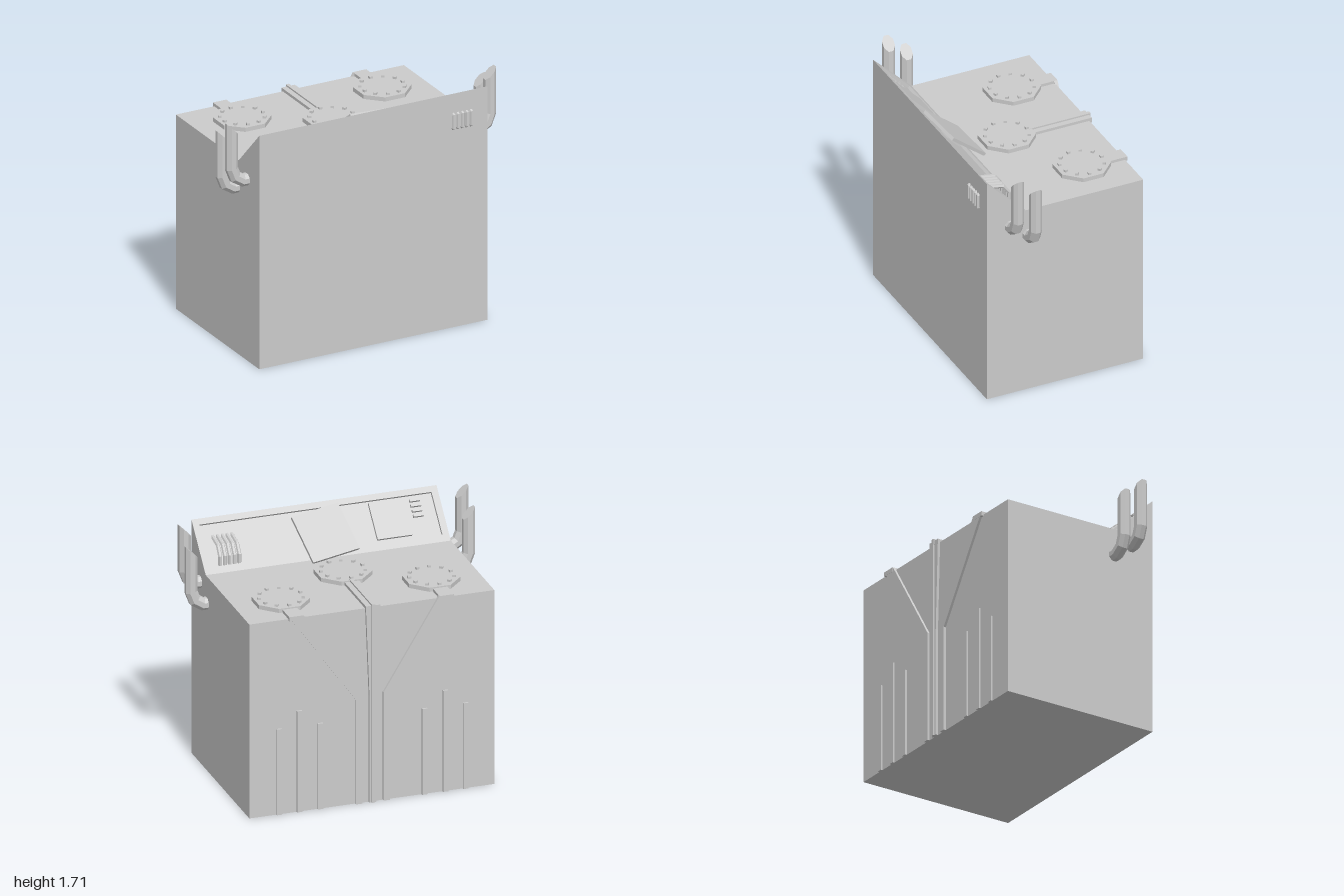
import * as THREE from 'three';

const mat = new THREE.MeshStandardMaterial({ color: 0xcccccc, flatShading: true });

function add(parent, name, geo, x = 0, y = 0, z = 0) {
  const m = new THREE.Mesh(geo, mat);
  m.name = name;
  m.position.set(x, y, z);
  parent.add(m);
  return m;
}

// Box given by its limits on each axis
function block(parent, name, x0, x1, y0, y1, z0, z1) {
  return add(parent, name, new THREE.BoxGeometry(x1 - x0, y1 - y0, z1 - z0),
    (x0 + x1) / 2, (y0 + y1) / 2, (z0 + z1) / 2);
}

function extrude(points, depth) {
  const shape = new THREE.Shape(points.map(p => new THREE.Vector2(p[0], p[1])));
  return new THREE.ExtrudeGeometry(shape, { depth, bevelEnabled: false });
}

// Mitred low-poly tube along a path in the xy plane; endCut slants the last ring
function sweep(path, r, sides, endCut = 0) {
  const pts = path.map(p => new THREE.Vector2(p[0], p[1]));
  const pos = [], idx = [], n = pts.length;
  const dir = i => pts[i + 1].clone().sub(pts[i]).normalize();
  for (let i = 0; i < n; i++) {
    const a = dir(Math.max(i - 1, 0)), b = dir(Math.min(i, n - 2));
    const t = a.clone().add(b).normalize();
    const k = 1 / t.dot(a);
    const u = new THREE.Vector2(t.y, -t.x).multiplyScalar(k);
    if (i === n - 1) u.addScaledVector(b, endCut);
    for (let j = 0; j < sides; j++) {
      const q = (j + 0.5) / sides * Math.PI * 2;
      const c = Math.cos(q) * r, s = Math.sin(q) * r;
      pos.push(pts[i].x + u.x * c, pts[i].y + u.y * c, s);
    }
  }
  for (let i = 0; i < n - 1; i++) for (let j = 0; j < sides; j++) {
    const a = i * sides + j, b = i * sides + (j + 1) % sides;
    idx.push(a, a + sides, b, b, a + sides, b + sides);
  }
  const e = (n - 1) * sides;
  for (let j = 1; j < sides - 1; j++) idx.push(0, j, j + 1, e, e + j + 1, e + j);
  // orient outwards whichever way the path bends
  const g = new THREE.BufferGeometry();
  g.setAttribute('position', new THREE.Float32BufferAttribute(pos, 3));
  const v = k => new THREE.Vector3().fromArray(pos, idx[k] * 3);
  let vol = 0;
  for (let k = 0; k < idx.length; k += 3) vol += v(k).dot(v(k + 1).cross(v(k + 2)));
  g.setIndex(vol < 0 ? idx.reverse() : idx);
  const flat = g.toNonIndexed();
  flat.computeVertexNormals();
  return flat;
}

export function createModel() {
  const root = new THREE.Group();
  root.name = 'controlCabinet';

  // Cabinet with sloping console; the middle section has the sunken panel
  const outline = [[0.575, 0], [0.575, 1.66], [0.295, 1.38], [-0.56, 1.38], [-0.56, 0]];
  const sunken = [...outline.slice(0, 2), [0.545, 1.63], [0.559, 1.616], [0.344, 1.401],
    [0.33, 1.415], ...outline.slice(2)];
  for (const [name, pts, x0, x1] of [['cabinetRight', outline, -0.845, -0.8],
    ['cabinetMiddle', sunken, -0.8, 0.805], ['cabinetLeft', outline, 0.805, 0.85]])
    add(root, name, extrude(pts, x1 - x0), x1).rotation.y = -Math.PI / 2;

  // Details lying on the console slope
  const slope = new THREE.Group();
  slope.name = 'consoleDetails';
  slope.position.set(0, 1.38, 0.295);
  slope.rotation.x = -Math.PI / 4;
  root.add(slope);
  block(slope, 'smallPanel', -0.6, -0.36, -0.025, 0, 0.078, 0.34);
  for (let i = 0; i < 4; i++)
    block(slope, 'indicatorBar', -0.71, -0.64, -0.025, 0, 0.2 + i * 0.036, 0.216 + i * 0.036);

  // Crooked screen plate
  const screen = new THREE.Group();
  screen.name = 'screen';
  screen.position.set(-0.01, 1.515, 0.388);
  screen.rotation.x = -0.71;
  root.add(screen);
  const plate = add(screen, 'screenPlate', new THREE.BoxGeometry(0.34, 0.022, 0.35));
  plate.rotation.y = 0.17;
  block(screen, 'screenMount', -0.05, 0.05, -0.07, 0, -0.06, 0.06);

  // Row of bent tubes through the console, showing again on the front
  for (let i = 0; i < 5; i++) {
    const x = 0.597 + i * 0.033;
    add(root, 'consoleTube', sweep([[0.355, 1.38], [0.355, 1.47], [0.4, 1.53], [0.53, 1.555]],
      0.014, 6), x).rotation.y = -Math.PI / 2;
    add(root, 'frontTube', sweep([[0.56, 1.405], [0.58, 1.418], [0.58, 1.508], [0.56, 1.52]],
      0.013, 6), x).rotation.y = -Math.PI / 2;
  }

  // Exhaust pipes, two on each side
  for (const side of [1, -1]) for (const [z, drop] of [[0.405, 0], [0.275, 0.1]]) {
    const path = [[0.82, 1.29], [0.88, 1.29], [0.935, 1.325], [0.96, 1.39], [0.96, 1.672]]
      .map(([x, y]) => [x * side, y - drop]);
    add(root, 'exhaustPipe', sweep(path, 0.043, 8, side), 0, 0, z);
  }

  // Bolted octagonal covers
  for (const [x, z] of [[-0.51, -0.27], [0, 0.015], [0.53, -0.27]]) {
    const cover = new THREE.Group();
    cover.name = 'cover';
    cover.position.set(x, 1.38, z);
    root.add(cover);
    add(cover, 'coverPlate', new THREE.CylinderGeometry(0.192, 0.192, 0.03, 8), 0, 0.014)
      .rotation.y = Math.PI / 8;
    for (let i = 0; i < 11; i++) {
      const a = i / 11 * Math.PI * 2 + 0.1;
      add(cover, 'bolt', new THREE.BoxGeometry(0.022, 0.02, 0.022),
        Math.cos(a) * 0.147, 0.034, Math.sin(a) * 0.147).rotation.y = -a;
    }
  }

  // Outer straps: over the top edge, slanting inwards, then down the back
  for (const s of [1, -1]) {
    const c = 0.01 + 0.52 * s;
    block(root, 'topStrap', c - 0.05, c + 0.05, 1.37, 1.4, -0.578, -0.42);
    const b = 0.095 * s, o = 0.022 * s;
    add(root, 'backStrap', extrude([[c - 0.05 * s, 1.4], [c + 0.05 * s, 1.4], [b + o, 0.74],
      [b + o, 0], [b - o, 0], [b - o, 0.77]], 0.025), 0, 0, -0.577);
  }

  // Central strap with a raised ridge
  block(root, 'centreTopStrap', -0.05, 0.05, 1.37, 1.4, -0.578, -0.14);
  block(root, 'centreTopRidge', -0.012, 0.012, 1.37, 1.411, -0.588, -0.14);
  add(root, 'centreBackStrap', extrude([[-0.05, 1.4], [0.05, 1.4], [0.025, 0.76], [0.025, 0],
    [-0.025, 0], [-0.025, 0.76]], 0.025), 0, 0, -0.578);
  block(root, 'centreBackRidge', -0.01, 0.01, 0, 1.411, -0.588, -0.56);

  // Upright bars on the back
  for (const s of [1, -1])
    for (const [x, h] of [[0.36, 0.61], [0.505, 0.72], [0.645, 0.61]])
      block(root, 'backBar', s * x - 0.018, s * x + 0.018, 0, h, -0.573, -0.55);

  return root;
}
